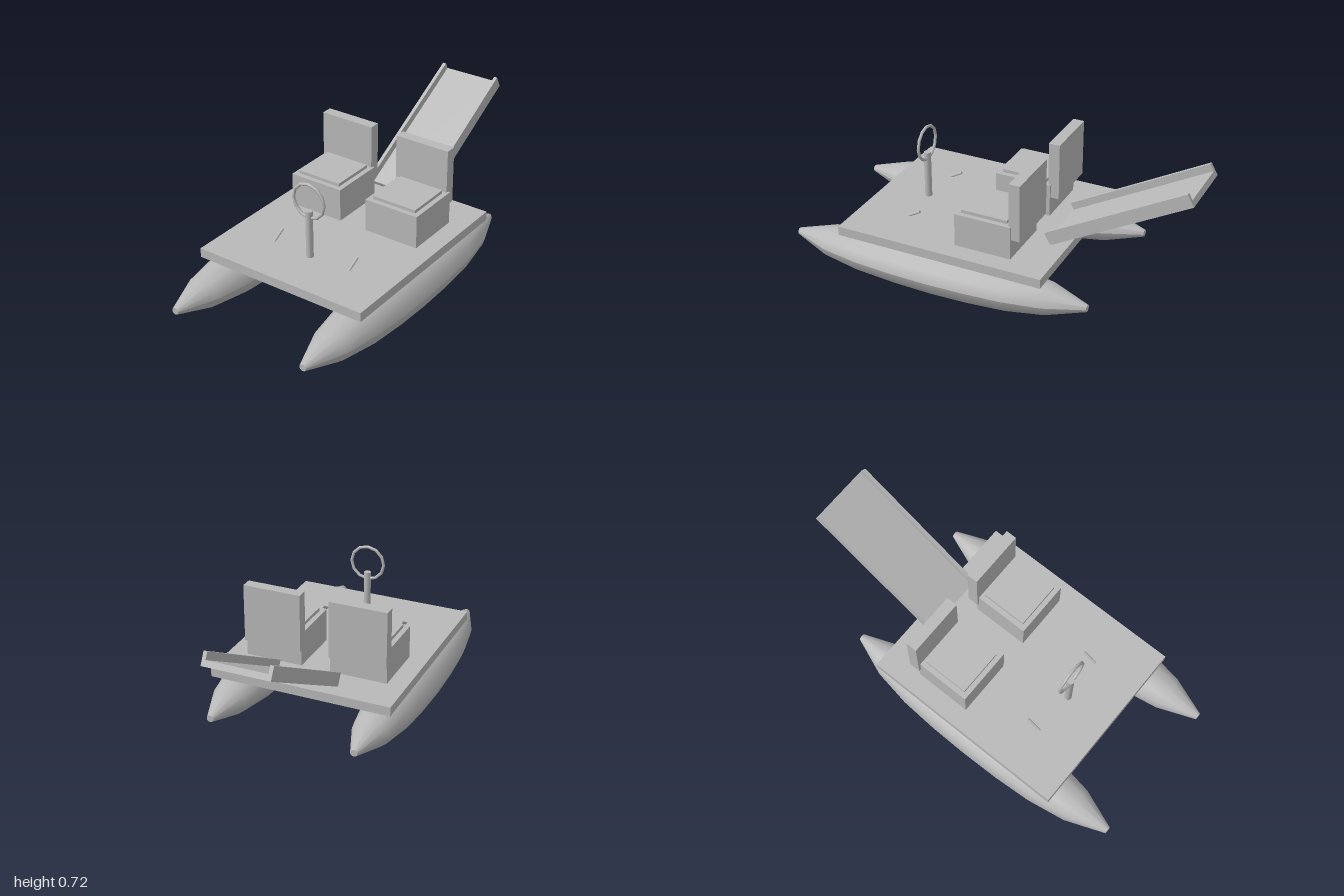
import * as THREE from 'three';

export function createModel() {
  const model = new THREE.Group();
  model.name = 'pedalBoat';
  const grey = new THREE.MeshStandardMaterial({ color: 0xb8b8b8 });
  grey.name = 'grey';

  function add(name, geometry, x, y, z, parent = model) {
    const mesh = new THREE.Mesh(geometry, grey);
    mesh.name = name;
    mesh.position.set(x, y, z);
    parent.add(mesh);
    return mesh;
  }
  // Box given by its minimum and maximum corners
  function box(name, [x0, y0, z0], [x1, y1, z1], parent) {
    return add(name, new THREE.BoxGeometry(x1 - x0, y1 - y0, z1 - z0),
      (x0 + x1) / 2, (y0 + y1) / 2, (z0 + z1) / 2, parent);
  }

  // Hulls: twelve-sided spindles, slightly flattened, with blunt tips
  const radii = [0.018, 0.095, 0.128, 0.14, 0.143, 0.14, 0.128, 0.095, 0.018];
  const profile = radii.map((r, i) => new THREE.Vector2(r, -0.795 + i * 0.19875));
  for (const side of [-1, 1]) {
    const hull = new THREE.Group();
    hull.name = side > 0 ? 'leftHull' : 'rightHull';
    hull.position.set(side * 0.373, 0.12, 0.205);
    model.add(hull);
    const body = new THREE.LatheGeometry(profile, 12);
    body.rotateY(Math.PI / 2);
    body.rotateX(Math.PI / 2);
    // Flatten the belly while keeping the tips round, and lift the tips a little
    const p = body.attributes.position;
    for (let i = 0; i < p.count; i++) {
      const t = Math.abs(p.getZ(i)) / 0.795;
      p.setY(i, p.getY(i) * (t > 0.99 ? 1 : 0.82) + 0.008 * t);
    }
    body.computeVertexNormals();
    add('hullBody', body, 0, 0, 0, hull);
    for (const end of [-1, 1]) {
      const cap = add('hullTip', new THREE.CircleGeometry(0.018, 12), 0, 0.008, end * 0.795, hull);
      if (end < 0) cap.rotation.y = Math.PI;
    }
  }

  box('deck', [-0.47, 0.237, -0.39], [0.47, 0.285, 0.7]);

  // Seats
  for (const side of [-1, 1]) {
    const seat = new THREE.Group();
    seat.name = side > 0 ? 'leftSeat' : 'rightSeat';
    seat.position.x = side * 0.224;
    model.add(seat);
    box('seatBase', [-0.148, 0.285, -0.19], [0.148, 0.457, 0.105], seat);
    box('cushion', [-0.122, 0.457, -0.16], [0.122, 0.474, 0.08], seat);
    box('backrest', [-0.161, 0.385, -0.233], [0.137, 0.682, -0.176], seat);
  }

  // Steering column and wheel
  add('steeringColumn', new THREE.CylinderGeometry(0.018, 0.018, 0.248, 12), 0, 0.409, 0.452);
  add('steeringWheel', new THREE.TorusGeometry(0.089, 0.008, 8, 12), 0, 0.584, 0.452);

  // Pedals: short rods leaning back
  for (const side of [-1, 1]) {
    const pedal = add(side > 0 ? 'leftPedal' : 'rightPedal',
      new THREE.CylinderGeometry(0.007, 0.007, 0.086, 8), side * 0.223, 0.3, 0.415);
    pedal.rotation.x = -Math.atan2(0.074, 0.042);
  }

  // Slide rising over the stern, its floor flush with the bottom of the rails
  const slide = new THREE.Group();
  slide.name = 'slide';
  slide.position.set(0, 0.281, -0.304);
  slide.rotation.x = THREE.MathUtils.degToRad(29);
  model.add(slide);
  box('slideFloor', [-0.151, 0, -0.795], [0.151, 0.03, 0], slide);
  box('slideRailLeft', [0.15, 0, -0.795], [0.168, 0.068, 0], slide);
  box('slideRailRight', [-0.168, 0, -0.795], [-0.15, 0.068, 0], slide);

  return model;
}
